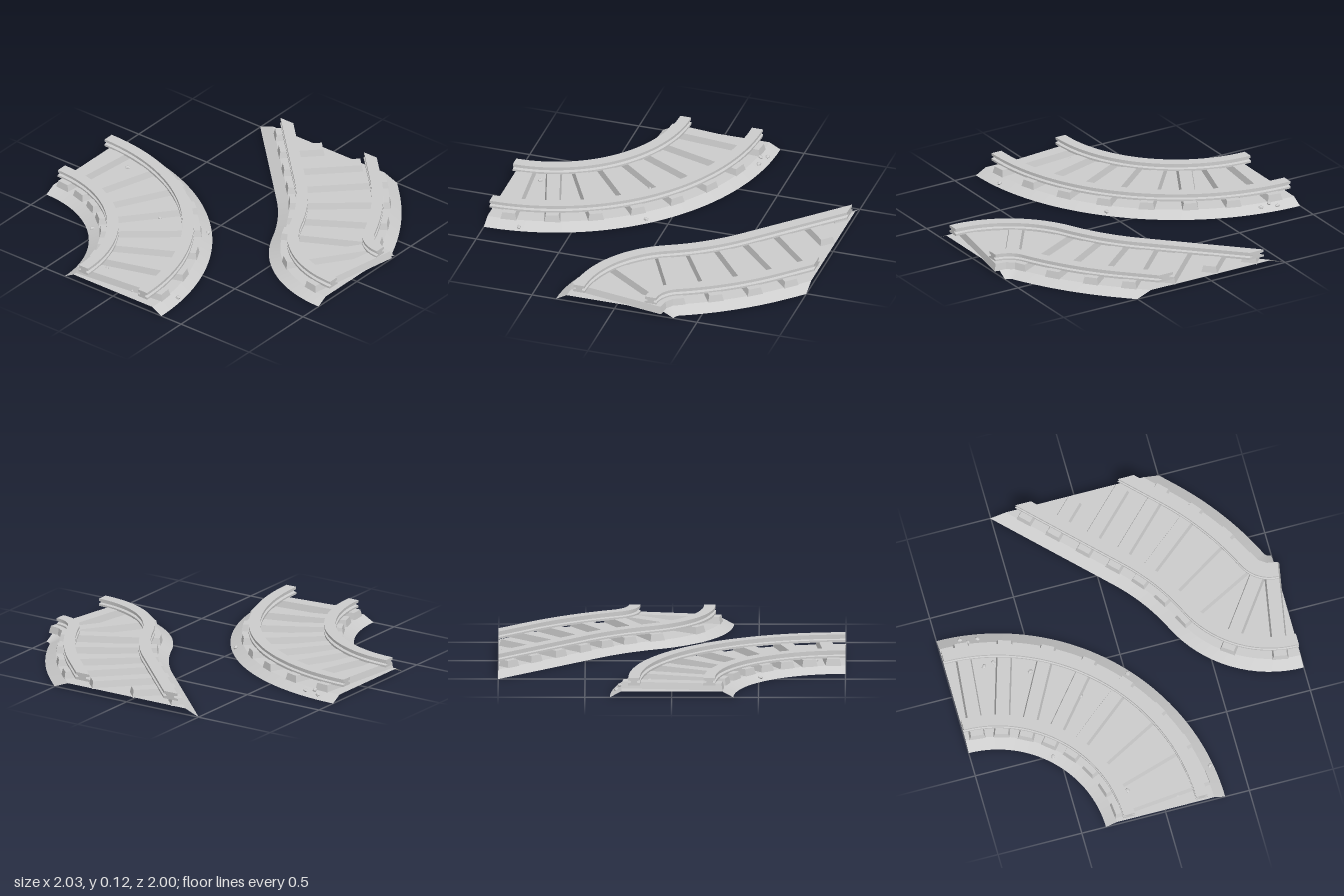
import * as THREE from 'three';
import { mergeGeometries } from 'three/addons/utils/BufferGeometryUtils.js';

const grey = new THREE.MeshStandardMaterial({ color: 0xcccccc, side: THREE.DoubleSide });
grey.name = 'grey';

const BED_TOP = 0.036;
// cross-sections as [sideways offset, height]
const bedProfile = [[-0.356, 0], [-0.29, BED_TOP], [0.29, BED_TOP], [0.356, 0]];
const railProfile = [
  [-0.035, 0.071], [-0.035, 0.083], [-0.017, 0.087], [-0.017, 0.097], [-0.033, 0.1], [-0.033, 0.115],
  [0.033, 0.115], [0.033, 0.1], [0.017, 0.097], [0.017, 0.087], [0.035, 0.083], [0.035, 0.071],
];

// Path made of arcs [length, radius]; radius 0 is straight, positive turns towards +offset
function makePath(x, z, heading, pieces) {
  const length = pieces.reduce((sum, p) => sum + p[0], 0);
  const at = (s) => {
    let px = x, pz = z, a = heading, left = s;
    for (let i = 0; i < pieces.length; i++) {
      const [len, r] = pieces[i];
      const step = i === pieces.length - 1 ? left : Math.min(left, len);
      if (r === 0) {
        px += Math.cos(a) * step;
        pz += Math.sin(a) * step;
      } else {
        const b = a + step / r;
        px += r * (Math.sin(b) - Math.sin(a));
        pz += r * (Math.cos(a) - Math.cos(b));
        a = b;
      }
      left -= step;
      if (left <= 0) break;
    }
    return { x: px, z: pz, a };
  };
  const point = (s, d) => {
    const p = at(s);
    return [p.x - Math.sin(p.a) * d, p.z + Math.cos(p.a) * d];
  };
  return { length, at, point };
}

// Sweep a profile along the path; skew = 1 cuts the start at 45 degrees
function sweep(path, profile, shift, closed, skew) {
  const N = 64, parts = [];
  const vertex = (i, [d, y]) => {
    const off = d + shift, s0 = -off * skew;
    const [x, z] = path.point(s0 + (path.length - s0) * i / N, off);
    return [x, y, z];
  };
  const build = (pos, index) => {
    const g = new THREE.BufferGeometry();
    g.setAttribute('position', new THREE.Float32BufferAttribute(pos, 3));
    g.setIndex(index);
    g.computeVertexNormals();
    parts.push(g);
  };
  const count = closed ? profile.length : profile.length - 1;
  for (let j = 0; j < count; j++) {
    const pos = [], index = [];
    for (let i = 0; i <= N; i++) {
      pos.push(...vertex(i, profile[j]), ...vertex(i, profile[(j + 1) % profile.length]));
      if (i < N) {
        const a = i * 2;
        index.push(a, a + 1, a + 2, a + 1, a + 3, a + 2);
      }
    }
    build(pos, index);
  }
  if (closed) {
    const faces = THREE.ShapeUtils.triangulateShape(profile.map((p) => new THREE.Vector2(...p)), []);
    for (const i of [0, N]) {
      build(profile.flatMap((p) => vertex(i, p)), faces.flatMap((f) => (i ? f : [...f].reverse())));
    }
  }
  return mergeGeometries(parts);
}

// Sleeper: a beam whose top is slightly narrower than its base
function sleeperGeometry(length) {
  const g = new THREE.BoxGeometry(0.095, 0.043, length);
  const p = g.attributes.position;
  for (let i = 0; i < p.count; i++) {
    if (p.getY(i) > 0) {
      p.setX(i, p.getX(i) - Math.sign(p.getX(i)) * 0.01);
      p.setZ(i, p.getZ(i) - Math.sign(p.getZ(i)) * 0.008);
    }
  }
  const flat = g.toNonIndexed();
  flat.computeVertexNormals();
  return flat;
}

function makeTrack(name, path, skew, sleeperStations) {
  const track = new THREE.Group();
  track.name = name;
  const add = (part, geometry) => {
    const mesh = new THREE.Mesh(geometry, grey);
    mesh.name = part;
    track.add(mesh);
    return mesh;
  };
  add('ballastBed', sweep(path, bedProfile, 0, false, skew));
  for (const [part, shift] of [['innerRail', 0.217], ['outerRail', -0.217]]) {
    add(part, sweep(path, railProfile, shift, true, skew));
  }
  for (const s of sleeperStations) {
    // beams near the slanted end are cut short
    const from = skew ? Math.max(-0.295, -s + 0.05) : -0.295;
    const to = 0.295;
    const [x, z] = path.point(s, (from + to) / 2);
    const beam = add('sleeper', sleeperGeometry(to - from));
    beam.position.set(x, 0.0525, z);
    beam.rotation.y = -path.at(s).a;
  }
  return track;
}

export function createModel() {
  const model = new THREE.Group();
  model.name = 'railwayTracks';

  // Quarter-turn track
  const quarter = makePath(-1, 0, 0, [[Math.PI / 2, 1]]);
  const stations = Array.from({ length: 8 }, (_, i) => (i + 0.5) * quarter.length / 8);
  const curved = makeTrack('curvedTrack', quarter, 0, stations);
  model.add(curved);

  // S-shaped track from a diagonal to a straight end
  const deg = Math.PI / 180;
  const winding = makePath(0, -1, 45 * deg, [[0.467, 0], [20 * deg * 1.54, 1.54], [65 * deg * 0.4, -0.4]]);
  model.add(makeTrack('windingTrack', winding, 1, [-0.17, 0.02, 0.22, 0.42, 0.62, 0.82, 1.02, 1.21, 1.39]));

  // Loose stones on the curved bed
  const stones = [
    [-0.87, -0.32], [-0.83, -0.29], [-0.77, -0.3], [-0.78, -0.12], [-0.72, -0.13], [-0.53, -0.02],
    [0.01, 0.13], [-0.29, 0.2], [-0.54, 0.51], [-0.18, 0.83], [0.32, 0.8], [0.09, 0.93],
  ];
  const stoneGeometry = new THREE.IcosahedronGeometry(0.015, 0);
  stones.forEach(([x, z], i) => {
    const d = Math.abs(Math.hypot(x + 1, z - 1) - 1);
    const ground = BED_TOP * Math.min(1, (0.356 - d) / 0.066);
    const stone = new THREE.Mesh(stoneGeometry, grey);
    stone.name = 'stone';
    stone.position.set(x, Math.max(ground, 0.014) + 0.003, z);
    stone.rotation.set(0, i * 1.3, 0);
    stone.scale.set(1.1, 0.8, 0.9);
    curved.add(stone);
  });
  return model;
}
